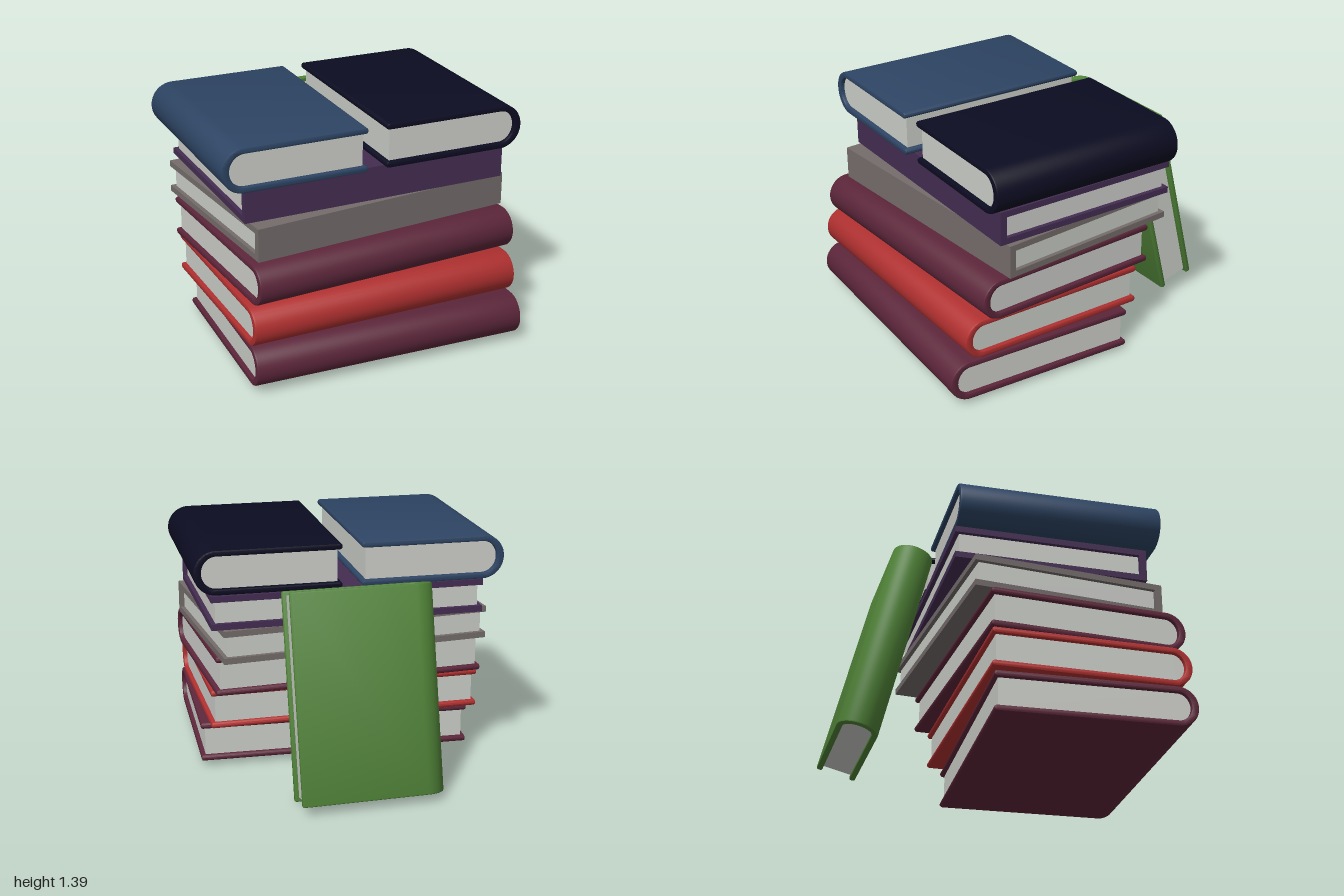
import * as THREE from 'three';
import { toCreasedNormals } from 'three/addons/utils/BufferGeometryUtils.js';

const T = 0.036;      // cover thickness
const INSET = 0.025;  // how far the pages sit back from the cover edges
const HALF = Math.PI / 2;

function material(name, color) {
  const m = new THREE.MeshStandardMaterial({ color });
  m.name = name;
  return m;
}

// Side outline of a hardcover: x runs from fore edge (-) to spine (+)
function coverShape(D, H, round) {
  const s = new THREE.Shape();
  const h = H / 2, d = D / 2, r = T / 2;
  if (round) {
    const c = d - h;
    s.moveTo(-d + r, -h);
    s.lineTo(c, -h);
    s.absarc(c, 0, h, -HALF, HALF, false);
    s.lineTo(-d + r, h);
    s.absarc(-d + r, h - r, r, HALF, 3 * HALF, false);
    s.lineTo(c, h - T);
    s.absellipse(c, 0, h - 0.045, h - T, HALF, -HALF, true);
    s.lineTo(-d + r, -h + T);
    s.absarc(-d + r, -h + r, r, HALF, 3 * HALF, false);
  } else {
    const pts = [[-d, -h], [d, -h], [d, h], [-d, h], [-d, h - T], [d - 0.04, h - T], [d - 0.04, -h + T], [-d, -h + T]];
    s.setFromPoints(pts.map(([x, y]) => new THREE.Vector2(x, y)));
  }
  return s;
}

function pageShape(D, H, round) {
  const s = new THREE.Shape();
  const h = H / 2 - T, d = D / 2;
  s.moveTo(-d + INSET, -h);
  if (round) {
    const c = d - H / 2;
    s.lineTo(c, -h);
    s.absellipse(c, 0, H / 2 - 0.045, h, -HALF, HALF, false);
  } else {
    s.lineTo(d - 0.04, -h);
    s.lineTo(d - 0.04, h);
  }
  s.lineTo(-d + INSET, h);
  return s;
}

// Extrude a side outline along x, centred, with the spine towards +z
function extrudeAlongX(shape, length, bevel) {
  const g = new THREE.ExtrudeGeometry(shape, {
    depth: length - 2 * bevel, curveSegments: 16,
    bevelEnabled: bevel > 0, bevelSize: bevel, bevelThickness: bevel, bevelOffset: -bevel, bevelSegments: 2,
  });
  g.translate(0, 0, -length / 2 + bevel);
  g.rotateY(-HALF);
  return toCreasedNormals(g, 0.7);
}

function makeBook(name, L, D, H, round, coverMat, pageMat) {
  const book = new THREE.Group();
  book.name = name;
  const cover = new THREE.Mesh(extrudeAlongX(coverShape(D, H, round), L, round ? 0.01 : 0), coverMat);
  cover.name = 'cover';
  const pages = new THREE.Mesh(extrudeAlongX(pageShape(D, H, round), L - 2 * INSET, 0), pageMat);
  pages.name = 'pages';
  book.add(cover, pages);
  return book;
}

export function createModel() {
  const model = new THREE.Group();
  model.name = 'bookStack';
  const paper = material('paper', 0xcccec9);
  const maroon = material('maroon', 0x5c263a);
  const red = material('red', 0xb03030);
  const grey = material('warmGrey', 0x746c6b);
  const purple = material('purple', 0x442d52);
  const blue = material('blue', 0x2d4463);
  const navy = material('navy', 0x0c0c22);
  const green = material('green', 0x4f8137);

  // Lying books: name, material, round spine, length, depth, bottom, top, x, z, turn
  const lying = [
    ['bottomBook', maroon, true, 1.635, 1.165, 0.035, 0.275, 0.027, 0.417, 0],
    ['redBook', red, true, 1.635, 1.165, 0.275, 0.51, 0, 0.357, 0.046],
    ['maroonBook', maroon, true, 1.635, 1.165, 0.507, 0.745, 0.008, 0.305, 0.096],
    ['greyBook', grey, false, 1.605, 1.137, 0.745, 0.94, 0.01, 0.178, 0.125],
    ['purpleBook', purple, false, 1.6, 1.137, 0.94, 1.138, 0.022, 0.145, 0.04],
    ['blueTopBook', blue, true, 1.187, 0.852, 1.138, 1.398, -0.485, 0.194, -HALF + 0.026],
    ['navyTopBook', navy, true, 1.187, 0.852, 1.138, 1.398, 0.481, 0.162, HALF + 0.026],
  ];
  for (const [name, mat, round, L, D, y0, y1, x, z, turn] of lying) {
    const book = makeBook(name, L, D, y1 - y0, round, mat, paper);
    book.position.set(x, (y0 + y1) / 2, z);
    book.rotation.y = turn;
    model.add(book);
  }

  // Book standing on end behind the stack and leaning against it
  const leaning = makeBook('uprightBook', 1.19, 0.845, 0.24, true, green, paper);
  leaning.quaternion.setFromRotationMatrix(new THREE.Matrix4().makeBasis(
    new THREE.Vector3(0, 1, 0), new THREE.Vector3(0, 0, -1), new THREE.Vector3(-1, 0, 0)));
  const lean = new THREE.Group();
  lean.name = 'leaningBook';
  lean.rotation.set(0.247, 0.05, 0, 'YXZ');
  lean.position.set(-0.025, 0.608, -0.717);
  lean.add(leaning);
  model.add(lean);

  return model;
}
